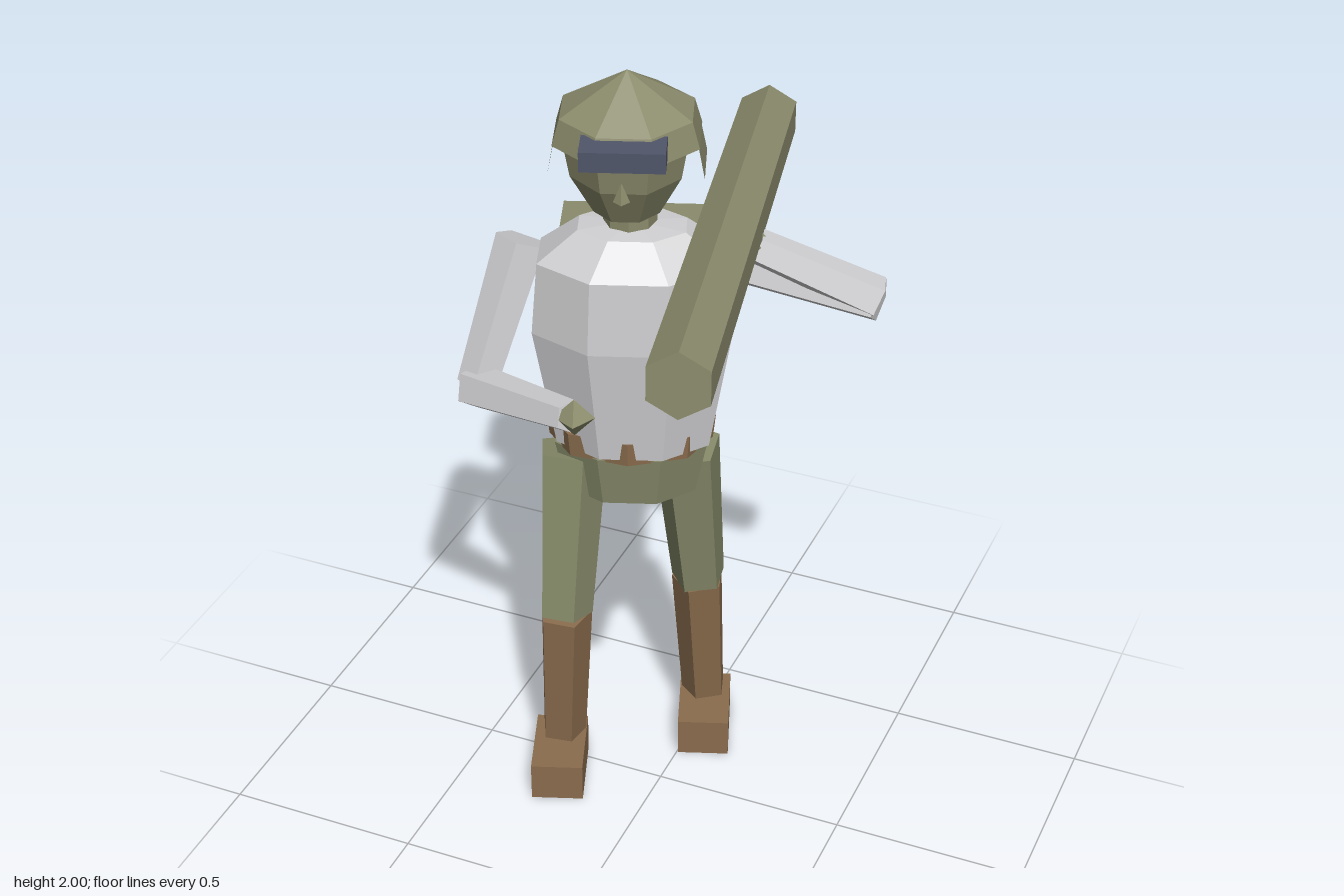
import * as THREE from 'three';

const TURN = 0.35; // the whole figure is turned a little to its left

const paint = (name, color) =>
  Object.assign(new THREE.MeshStandardMaterial({ color, flatShading: true }), { name });

export function createModel() {
  const root = new THREE.Group();
  root.name = 'soldier';
  const olive = paint('olive', 0x8b8b6c);
  const trouser = paint('trouserGreen', 0x868a69);
  const shirt = paint('paleGrey', 0xcfcfd1);
  const leather = paint('brownLeather', 0x8a6c4d);
  const dark = paint('slate', 0x50566a);
  const cloth = paint('oliveCloth', 0x8b8b6c);
  cloth.side = THREE.DoubleSide;

  const add = (name, geometry, material, x, y, z, turn = TURN) => {
    const mesh = new THREE.Mesh(geometry, material);
    mesh.name = name;
    mesh.position.set(x, y, z);
    mesh.rotation.y = turn;
    root.add(mesh);
    return mesh;
  };

  // Faceted body of rings [radius, y], listed from bottom to top
  const rings = (profile, sx = 1, sz = 1, start = Math.PI / 8, sweep = Math.PI * 2, n = 8) =>
    new THREE.LatheGeometry(profile.map(([r, y]) => new THREE.Vector2(r, y)), n, start, sweep)
      .scale(sx, 1, sz);

  // Tapered prism from point a to point b
  const limb = (name, a, b, ra, rb, material, sides = 5) => {
    const from = new THREE.Vector3(...a), to = new THREE.Vector3(...b);
    const geometry = new THREE.CylinderGeometry(rb, ra, from.distanceTo(to), sides).rotateX(Math.PI / 2);
    const mesh = add(name, geometry, material, 0, 0, 0, 0);
    mesh.position.copy(from).add(to).multiplyScalar(0.5);
    mesh.lookAt(to);
    return mesh;
  };

  // Torso, belt and hips
  add('torso', rings([[0, 1.02], [0.205, 1.02], [0.262, 1.34], [0.245, 1.53], [0.14, 1.61], [0, 1.62]], 1, 0.69),
    shirt, -0.11, 0, -0.09);
  add('belt', rings([[0, 1.005], [0.205, 1.005], [0.212, 1.07], [0, 1.07]], 1, 0.7, 0),
    leather, -0.12, 0, -0.095);
  add('hips', rings([[0, 0.87], [0.175, 0.87], [0.205, 1.01], [0, 1.01]], 1, 0.7),
    trouser, -0.12, 0, -0.1);

  // Legs in mid stride
  const legs = [
    { side: 'right', hip: [-0.255, 0.97, -0.03], knee: [-0.245, 0.52, 0.055], ankle: [-0.27, 0.08, 0.03], foot: [-0.255, 0.085] },
    { side: 'left', hip: [0, 0.96, -0.17], knee: [0.01, 0.51, -0.235], ankle: [0.01, 0.08, -0.285], foot: [0.03, -0.235] },
  ];
  for (const { side, hip, knee, ankle, foot } of legs) {
    limb(side + 'Thigh', hip, knee, 0.09, 0.072, trouser);
    limb(side + 'BootShaft', knee, ankle, 0.071, 0.06, leather);
    add(side + 'Boot', new THREE.BoxGeometry(0.135, 0.105, 0.215), leather, foot[0], 0.0525, foot[1]);
  }

  // Right arm, bent across the belly
  limb('rightUpperArm', [-0.385, 1.53, -0.05], [-0.45, 1.18, 0.09], 0.065, 0.052, shirt);
  limb('rightForearm', [-0.455, 1.18, 0.1], [-0.135, 1.25, 0.235], 0.058, 0.042, shirt);
  add('rightHand', new THREE.OctahedronGeometry(0.05), olive, -0.12, 1.255, 0.24);

  // Left arm, raised to steady the tube
  limb('leftUpperArm', [0.05, 1.52, -0.2], [0.48, 1.475, -0.195], 0.072, 0.056, shirt);
  limb('leftForearm', [0.475, 1.48, -0.195], [0.2, 1.605, -0.11], 0.055, 0.045, shirt);
  add('leftHand', new THREE.OctahedronGeometry(0.05), olive, 0.19, 1.62, -0.1);

  // Neck, face and nose
  add('neck', new THREE.CylinderGeometry(0.065, 0.065, 0.1, 8), olive, -0.12, 1.63, -0.1);
  add('face', rings([[0, 1.655], [0.085, 1.655], [0.142, 1.76], [0.16, 1.86], [0, 1.86]], 1, 1.1),
    olive, -0.125, 0, -0.095);
  add('nose', new THREE.ConeGeometry(0.02, 0.05, 4), olive, -0.072, 1.775, 0.06);

  // Helmet with a rear skirt, and goggles
  add('helmetDome', rings([[0.187, 1.835], [0.168, 1.9], [0, 2]]), cloth, -0.13, 0, -0.11);
  add('helmetSkirt', rings([[0.2, 1.76], [0.18, 1.855]], 1, 1, Math.PI * 3 / 8, Math.PI * 5 / 4, 5),
    cloth, -0.13, 0, -0.11);
  add('goggles', new THREE.BoxGeometry(0.2, 0.05, 0.09), dark, -0.07, 1.87, 0.053);

  // Backpack
  add('backpack', new THREE.BoxGeometry(0.362, 0.45, 0.197), olive, -0.208, 1.255, -0.32);

  // Long six-sided tube on the left shoulder
  limb('shoulderTube', [-0.005, 1.63, -0.72], [0.342, 1.73, 0.715], 0.08, 0.08, olive, 6);

  return root;
}
